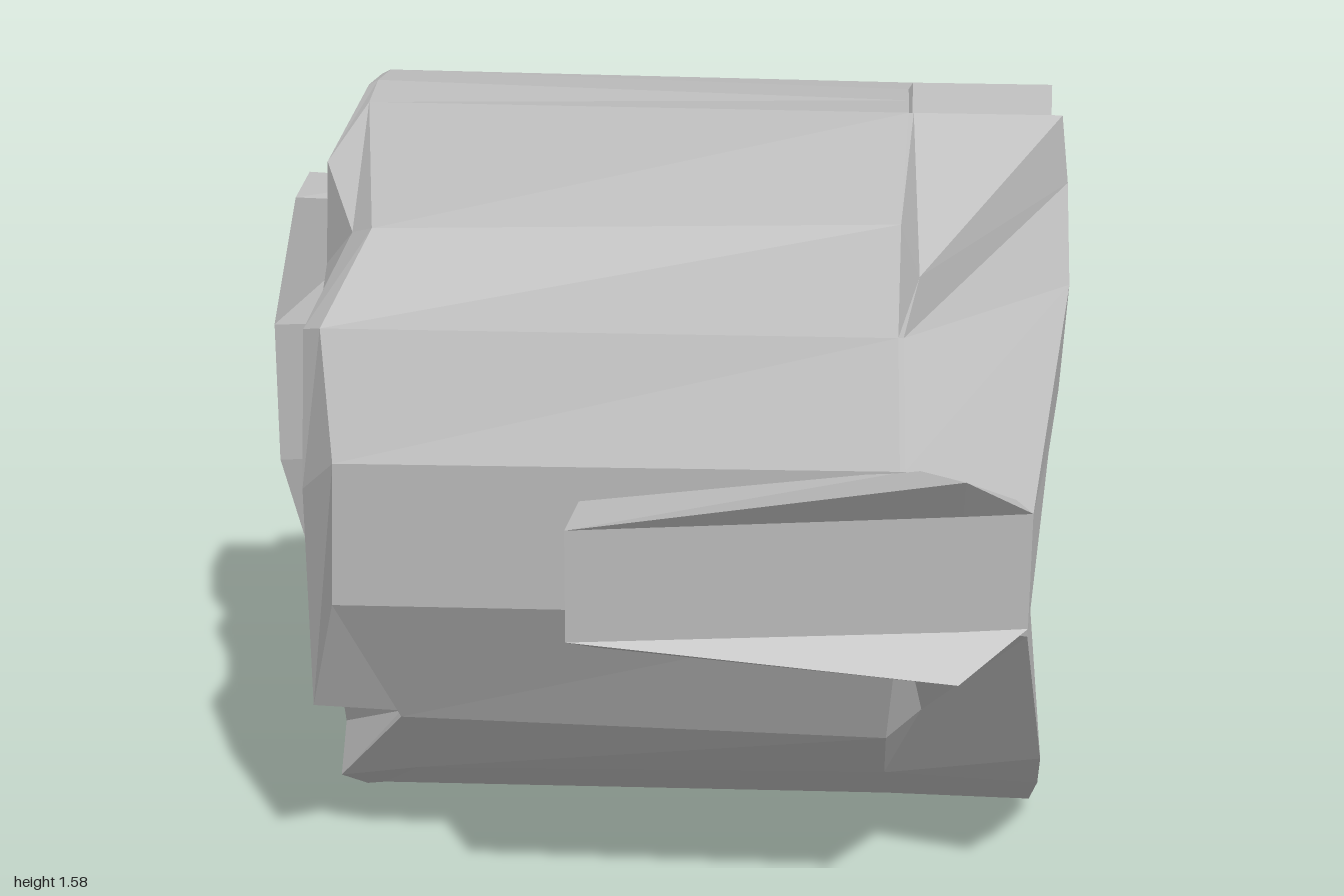
import * as THREE from 'three';

const shell = new THREE.MeshStandardMaterial({ color: 0xb8b8b8, side: THREE.DoubleSide, flatShading: true });
shell.name = 'plain grey';

// Joins rings of [x, y, z] points, each running top -> +z -> bottom -> -z, from -x to +x.
function loft(name, rings) {
  const pos = [];
  const tri = (...pts) => {
    const [a, b, c] = pts.map((p) => new THREE.Vector3(...p));
    if (b.clone().sub(a).cross(c.clone().sub(a)).length() < 1e-6) return;
    for (const p of pts) pos.push(...p);
  };
  for (let r = 0; r < rings.length - 1; r++) {
    const a = rings[r], b = rings[r + 1], n = a.length;
    for (let i = 0; i < n; i++) {
      const j = (i + 1) % n;
      tri(a[i], a[j], b[i]);
      tri(a[j], b[j], b[i]);
    }
  }
  const g = new THREE.BufferGeometry();
  g.setAttribute('position', new THREE.Float32BufferAttribute(pos, 3));
  g.computeVertexNormals();
  const mesh = new THREE.Mesh(g, shell);
  mesh.name = name;
  return mesh;
}

const flip = (ring) => ring.map(([x, y, z]) => [x, y, -z]).reverse();
const whole = (half) => [...half, ...flip(half)];
const point = (ring, x, y, z) => ring.map(() => [x, y, z]);

export function createModel() {
  const model = new THREE.Group();
  model.name = 'capsule';

  // Closed end with four diagonal dents in its edge
  const back = [[-0.57, 1.57, 0.07], [-0.6, 1.46, 0.36], [-0.53, 1.34, 0.47], [-0.6, 1.18, 0.63], [-0.6, 0.87, 0.69],
    [-0.6, 0.4, 0.67], [-0.45, 0.33, 0.52], [-0.6, 0.14, 0.44], [-0.6, 0, 0.18]];
  const plate = back.map(([, y, z]) => [-0.6, 0.79 + (y - 0.79) * 0.85, z * 0.85]);

  // Drum body, flat-sided on the diagonals
  const start = [[-0.55, 1.58, 0.07], [-0.55, 1.55, 0.17], [-0.48, 1.36, 0.52], [-0.56, 1.19, 0.66], [-0.52, 0.95, 0.77],
    [-0.53, 0.66, 0.775], [-0.43, 0.36, 0.62], [-0.43, 0.17, 0.45], [-0.56, 0.005, 0.18]];
  const end = [[0.57, 1.555, 0.07], [0.57, 1.55, 0.19], [0.56, 1.37, 0.43], [0.56, 1.2, 0.66], [0.57, 0.97, 0.775],
    [0.57, 0.68, 0.78], [0.56, 0.36, 0.63], [0.56, 0.19, 0.42], [0.57, 0.03, 0.18]];

  // Top notch, diagonal dents behind the rim, open rim
  const notch = end.map(([x, y, z]) => [x + 0.01, y, z]);
  notch[0] = [0.58, 1.34, 0.1];
  notch[2] = [0.6, 1.26, 0.41];
  notch[6] = [0.63, 0.4, 0.57];
  const rim = [[0.88, 1.34, 0.1], [0.88, 1.55, 0.19], [0.88, 1.46, 0.43], [0.88, 1.3, 0.61], [0.82, 0.91, 0.82],
    [0.82, 0.66, 0.81], [0.87, 0.32, 0.61], [0.88, 0.18, 0.42], [0.88, 0.03, 0.18]];
  const lip = [[0.88, 1.34, 0.1], [0.88, 1.34, 0.1], [0.88, 1.2, 0.27], [0.88, 1.05, 0.46], [0.86, 0.95, 0.56],
    [0.84, 0.62, 0.53], [0.79, 0.37, 0.43], [0.85, 0.29, 0.25], [0.88, 0.24, 0.1]];

  // Slanted sunken plate that rises to the lip at its two lower corners
  const floor = whole(lip).map(([x, y, z]) => [x < 0.8 ? 0.78 : 0.7 + z * 0.2, Math.max(y, 0.3), z * 0.93]);
  model.add(loft('drum', [point(floor, -0.6, 0.79, 0), whole(plate), whole(back), whole(start), whole(end),
    whole(notch), whole(rim), whole(lip), floor, point(floor, 0.7, 0.8, 0)]));

  // Side bars with a trough along the outer face
  const bar = [
    [[-0.03, 0.92, 0.86], [-0.04, 0.91, 1], [-0.04, 0.91, 1], [-0.04, 0.69, 1], [-0.04, 0.69, 1], [0.0, 0.63, 0.87]],
    [[0.6, 0.97, 0.76], [0.69, 1.0, 0.92], [0.69, 0.91, 0.85], [0.69, 0.68, 0.85], [0.69, 0.6, 0.92], [0.6, 0.61, 0.76]],
    [[0.82, 0.91, 0.77], [0.82, 0.91, 0.82], [0.82, 0.91, 0.82], [0.82, 0.68, 0.82], [0.82, 0.68, 0.82], [0.82, 0.66, 0.77]],
  ];
  bar.unshift(point(bar[0], -0.035, 0.8, 0.93));
  bar.push(point(bar[0], 0.82, 0.8, 0.8));
  model.add(loft('leftBar', bar), loft('rightBar', bar.map(flip)));

  // Grip block on the closed end
  const gripOuter = [[-0.82, 1.28, -0.42], [-0.82, 1.25, -0.27], [-0.88, 0.95, -0.26], [-0.88, 0.62, -0.26],
    [-0.82, 0.32, -0.32], [-0.88, 0.67, -0.63], [-0.88, 0.9, -0.63]];
  const gripInner = [[1.26, -0.46], [1.22, -0.38], [0.95, -0.3], [0.62, -0.3], [0.32, -0.4], [0.62, -0.69], [0.95, -0.69]]
    .map(([y, z]) => [-0.57, y, z]);
  model.add(loft('grip', [point(gripOuter, -0.87, 0.78, -0.4), gripOuter, gripInner]));

  return model;
}
